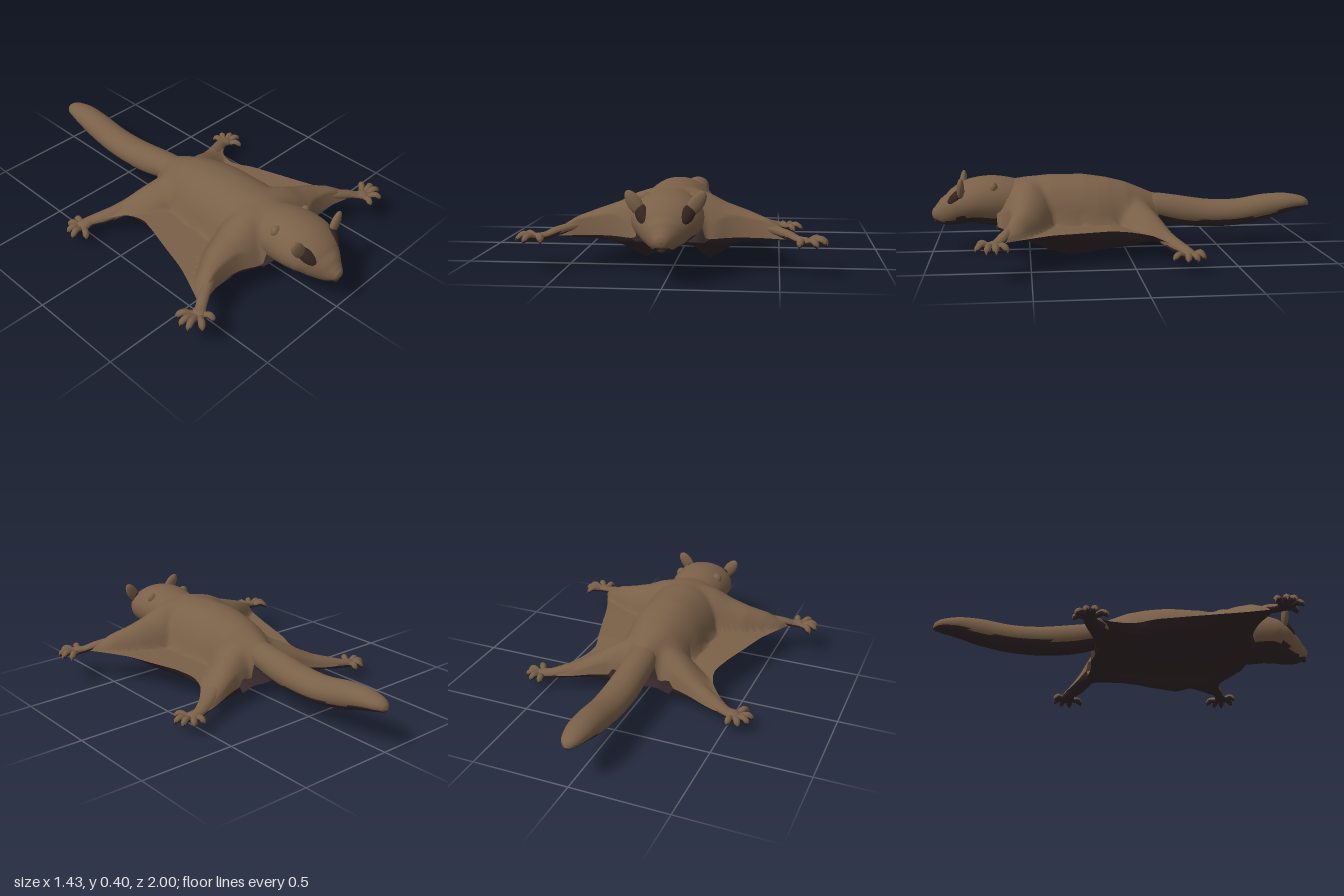
import * as THREE from 'three';

const fur = new THREE.MeshStandardMaterial({ color: 0x7a6048, side: THREE.DoubleSide });
fur.name = 'brownFur';
const dark = new THREE.MeshStandardMaterial({ color: 0x35272a, side: THREE.DoubleSide });
dark.name = 'darkUnderside';
const eyeMat = new THREE.MeshStandardMaterial({ color: 0x33231f });
eyeMat.name = 'darkEye';

// linear interpolation through [key, value] pairs
function along(pairs, k) {
  if (k <= pairs[0][0]) return pairs[0][1];
  for (let i = 1; i < pairs.length; i++) {
    const [k0, v0] = pairs[i - 1], [k1, v1] = pairs[i];
    if (k <= k1) return v0 + (v1 - v0) * (k - k0) / (k1 - k0);
  }
  return pairs[pairs.length - 1][1];
}

function build(pos, index) {
  const g = new THREE.BufferGeometry();
  g.setAttribute('position', new THREE.Float32BufferAttribute(pos, 3));
  g.setIndex(index);
  g.computeVertexNormals();
  return g;
}

function named(name, geo, mat) {
  const m = new THREE.Mesh(geo, mat);
  m.name = name;
  return m;
}

// faces that point down more steeply than the limit get the dark material
function twoTone(name, geo, limit) {
  const p = geo.attributes.position, idx = geo.index.array, up = [], down = [];
  const t = new THREE.Triangle(), n = new THREE.Vector3();
  for (let i = 0; i < idx.length; i += 3) {
    t.setFromAttributeAndIndices(p, idx[i], idx[i + 1], idx[i + 2]);
    t.getNormal(n);
    (n.y < limit ? down : up).push(idx[i], idx[i + 1], idx[i + 2]);
  }
  geo.setIndex([...up, ...down]);
  geo.addGroup(0, up.length, 0);
  geo.addGroup(up.length, down.length, 1);
  return named(name, geo, [fur, dark]);
}

// elliptical tube; each station is [x, y, z, halfWidth, halfHeight]
function loft(stations, rings = 24, sides = 20) {
  const path = new THREE.CatmullRomCurve3(stations.map(s => new THREE.Vector3(s[0], s[1], s[2])));
  const size = new THREE.CatmullRomCurve3(stations.map(s => new THREE.Vector3(s[3], s[4], 0)));
  const pos = [], index = [];
  for (let i = 0; i <= rings; i++) {
    const c = path.getPoint(i / rings), r = size.getPoint(i / rings), d = path.getTangent(i / rings);
    const side = new THREE.Vector3(d.z, 0, -d.x).normalize();
    const up = new THREE.Vector3().crossVectors(d, side);
    for (let j = 0; j < sides; j++) {
      const a = j / sides * Math.PI * 2;
      const v = c.clone().addScaledVector(side, Math.cos(a) * Math.max(r.x, 0.0005))
        .addScaledVector(up, Math.sin(a) * Math.max(r.y, 0.0005));
      pos.push(v.x, v.y, v.z);
      if (i < rings) {
        const q = i * sides + j, n = i * sides + (j + 1) % sides;
        index.push(q, n, q + sides, n, n + sides, q + sides);
      }
    }
  }
  return build(pos, index);
}

// plan outline of one half: front edge, side edge and rear edge
const line = pts => new THREE.CatmullRomCurve3(pts.map(([x, z]) => new THREE.Vector3(x, 0, z)));
const front = line([[0, 0.68], [0.17, 0.66], [0.28, 0.615], [0.4, 0.61], [0.5, 0.63], [0.58, 0.65]]);
const flank = line([[0.58, 0.65], [0.53, 0.55], [0.47, 0.41], [0.42, 0.25], [0.37, 0.09], [0.345, 0], [0.365, -0.09], [0.42, -0.16], [0.5, -0.23]]);
const rear = line([[0, -0.18], [0.1, -0.17], [0.25, -0.2], [0.38, -0.245], [0.46, -0.265], [0.5, -0.23]]);

function plan(s, t) {
  const F = front.getPoint(s), B = rear.getPoint(s), E = flank.getPoint(t);
  const mix = (a, b, k) => a + (b - a) * k;
  return ['x', 'z'].map(k => {
    const c0 = k === 'z' ? 0.68 : 0, c1 = k === 'z' ? -0.18 : 0;
    const f1 = k === 'z' ? 0.65 : 0.58, b1 = k === 'z' ? -0.23 : 0.5;
    return mix(F[k], B[k], t) + mix(mix(c0, c1, t), E[k], s) - mix(mix(c0, f1, s), mix(c1, b1, s), t);
  });
}

const edgeY = z => along([[-0.25, 0.08], [-0.1, 0.13], [0.1, 0.16], [0.4, 0.165], [0.65, 0.155]], z);
const dome = (q, p) => Math.pow(Math.max(0, 1 - Math.pow(Math.abs(q), p)), 0.6);
const softMax = (a, b) => 0.5 * (a + b + Math.hypot(a - b, 0.012)) - 0.006;

// upper surface: torso dome, arm ridge and haunch ridge over the skin
function topY(x, z) {
  const e = edgeY(z);
  const back = along([[-0.18, 0.285], [0, 0.36], [0.1, 0.385], [0.22, 0.403], [0.4, 0.403], [0.55, 0.387], [0.68, 0.375]], z);
  const half = along([[-0.18, 0.09], [0, 0.18], [0.15, 0.21], [0.4, 0.22], [0.55, 0.2], [0.68, 0.155]], z);
  const arm = along([[0.1, 0.38], [0.17, 0.36], [0.25, 0.32], [0.35, 0.286], [0.45, 0.25], [0.53, 0.2], [0.58, 0.172]], x);
  const armZ = along([[0.1, 0.5], [0.2, 0.51], [0.35, 0.53], [0.5, 0.585], [0.58, 0.64]], x);
  const armR = along([[0.1, 0.16], [0.35, 0.1], [0.58, 0.04]], x);
  const leg = along([[0.08, 0.29], [0.2, 0.23], [0.3, 0.17], [0.4, 0.12], [0.5, 0.09]], x);
  const legZ = along([[0.1, -0.03], [0.3, -0.13], [0.4, -0.19], [0.5, -0.24]], x);
  const legR = along([[0.1, 0.14], [0.3, 0.09], [0.5, 0.04]], x);
  let y = e + Math.max(0, back - e) * dome(x / half, 2.2);
  y = softMax(y, e + Math.max(0, arm - e) * dome((z - armZ) / armR, 2));
  return softMax(y, e + Math.max(0, leg - e) * dome((z - legZ) / legR, 2));
}

// lower surface: two belly bulges either side of a shallow hollow
function bottomY(x, z, fade) {
  const depth = along([[-0.2, 0.03], [-0.1, 0.065], [0, 0.105], [0.15, 0.14], [0.3, 0.16], [0.42, 0.125], [0.55, 0.06], [0.66, 0.01]], z);
  const f = along([[0, 0.6], [0.09, 0.63], [0.125, 0.88], [0.155, 1], [0.19, 0.9], [0.24, 0.7], [0.35, 0.3], [0.5, 0.1]], x);
  return edgeY(z) - (0.006 + depth * f) * fade;
}

function shell(heightAt, flip) {
  const S = 64, T = 64, pos = [], index = [];
  for (let j = 0; j <= T; j++) for (let i = 0; i <= S; i++) {
    const s = i / S * 2 - 1, t = j / T;
    const [x, z] = plan(Math.abs(s), t);
    const rim = Math.abs(s) === 1 || (t % 1 === 0 && Math.abs(x) > 0.18);
    const fade = Math.min(1, (1 - Math.abs(s)) * 4);
    pos.push(x * Math.sign(s), rim ? edgeY(z) : heightAt(x, z, fade), z);
    if (i < S && j < T) {
      const a = j * (S + 1) + i, b = a + 1, c = a + S + 1, d = c + 1;
      index.push(...(flip ? [a, c, b, b, c, d] : [a, b, c, b, d, c]));
    }
  }
  return build(pos, index);
}

// wrist or ankle, palm and five digits
function paw(name, sx, limb, palm, tips) {
  const g = new THREE.Group();
  g.name = name;
  const flip = st => st.map(([x, ...r]) => [x * sx, ...r]);
  g.add(twoTone('limbEnd', loft(flip(limb), 24, 12), -0.3));
  tips.forEach(([x, z]) => {
    const [px, py, pz] = palm, dx = x - px, dz = z - pz;
    const digit = [[0, 0, 0.012], [0.4, 0.004, 0.015], [0.7, 0.012, 0.017], [0.9, 0, 0.015], [1, -0.018, 0.001]]
      .map(([k, h, r]) => [px + dx * k, py + h, pz + dz * k, r, r]);
    g.add(twoTone('digit', loft(flip(digit), 10, 8), -0.2));
  });
  return g;
}

function blob(name, mat, pos, scale, rot) {
  const m = named(name, new THREE.SphereGeometry(1, 20, 14), mat);
  m.position.set(...pos);
  m.scale.set(...scale);
  m.rotation.set(...rot);
  return m;
}

// slanted almond lying flat on the side of the face
function eye(name, sx) {
  const m = blob(name, eyeMat, [0.098 * sx, 0.299, 0.868], [0.062, 0.032, 0.02], [0, 0, 0]);
  const slant = new THREE.Vector3(0.05 * sx, 0.08, -0.09).normalize();
  const across = new THREE.Vector3(0.49 * sx, 0.57, 0.66).cross(slant).normalize();
  const out = new THREE.Vector3().crossVectors(slant, across);
  m.quaternion.setFromRotationMatrix(new THREE.Matrix4().makeBasis(slant, across, out));
  return m;
}

export function createModel() {
  const model = new THREE.Group();
  model.name = 'glidingAnimal';
  model.add(named('backAndMembrane', shell(topY, false), fur));
  model.add(named('belly', shell(bottomY, true), dark));

  model.add(twoTone('tail', loft([
    [0, 0.24, 0.04, 0.03, 0.04], [0, 0.22, -0.15, 0.075, 0.068], [0, 0.19, -0.3, 0.08, 0.077],
    [0, 0.173, -0.45, 0.082, 0.073], [0, 0.175, -0.6, 0.08, 0.07], [0, 0.2, -0.75, 0.075, 0.068],
    [0, 0.22, -0.87, 0.066, 0.052], [0, 0.22, -0.96, 0.045, 0.033], [0, 0.212, -0.99, 0.022, 0.018],
    [0, 0.21, -1, 0, 0]], 60, 36), -0.45));

  model.add(twoTone('head', loft([
    [0, 0.24, 0.48, 0.11, 0.1], [0, 0.252, 0.6, 0.145, 0.127], [0, 0.264, 0.7, 0.16, 0.128],
    [0, 0.263, 0.78, 0.162, 0.117], [0, 0.245, 0.84, 0.145, 0.103], [0, 0.222, 0.89, 0.11, 0.085],
    [0, 0.205, 0.94, 0.07, 0.068], [0, 0.2, 0.975, 0.042, 0.042], [0, 0.2, 0.994, 0.024, 0.022],
    [0, 0.2, 1, 0, 0]], 50, 32), -0.65));
  model.add(blob('nose', eyeMat, [0, 0.165, 0.972], [0.02, 0.01, 0.02], [0.6, 0, 0]));

  for (const sx of [1, -1]) {
    const side = sx > 0 ? 'left' : 'right';
    model.add(blob(side + 'Ear', fur, [0.135 * sx, 0.343, 0.842], [0.033, 0.066, 0.019], [0, 0.1 * sx, -0.6 * sx]));
    model.add(blob(side + 'HeadNub', fur, [0.108 * sx, 0.343, 0.68], [0.028, 0.03, 0.022], [0, 0, 0]));
    model.add(eye(side + 'Eye', sx));
    model.add(paw(side + 'Hand', sx,
      [[0.36, 0.22, 0.55, 0.005, 0.005], [0.44, 0.2, 0.585, 0.022, 0.02], [0.53, 0.178, 0.625, 0.027, 0.022],
        [0.58, 0.16, 0.655, 0.026, 0.018], [0.615, 0.155, 0.675, 0.036, 0.02], [0.655, 0.15, 0.69, 0, 0]],
      [0.605, 0.152, 0.672],
      [[0.69, 0.605], [0.715, 0.655], [0.71, 0.7], [0.665, 0.75], [0.585, 0.745]]));
    model.add(paw(side + 'Foot', sx,
      [[0.24, 0.14, -0.12, 0.005, 0.005], [0.34, 0.11, -0.17, 0.04, 0.035], [0.42, 0.088, -0.21, 0.04, 0.032],
        [0.49, 0.076, -0.245, 0.032, 0.024], [0.54, 0.07, -0.25, 0.038, 0.022], [0.585, 0.065, -0.25, 0, 0]],
      [0.53, 0.066, -0.25],
      [[0.52, -0.325], [0.575, -0.32], [0.615, -0.28], [0.625, -0.23], [0.58, -0.17]]));
  }
  return model;
}
